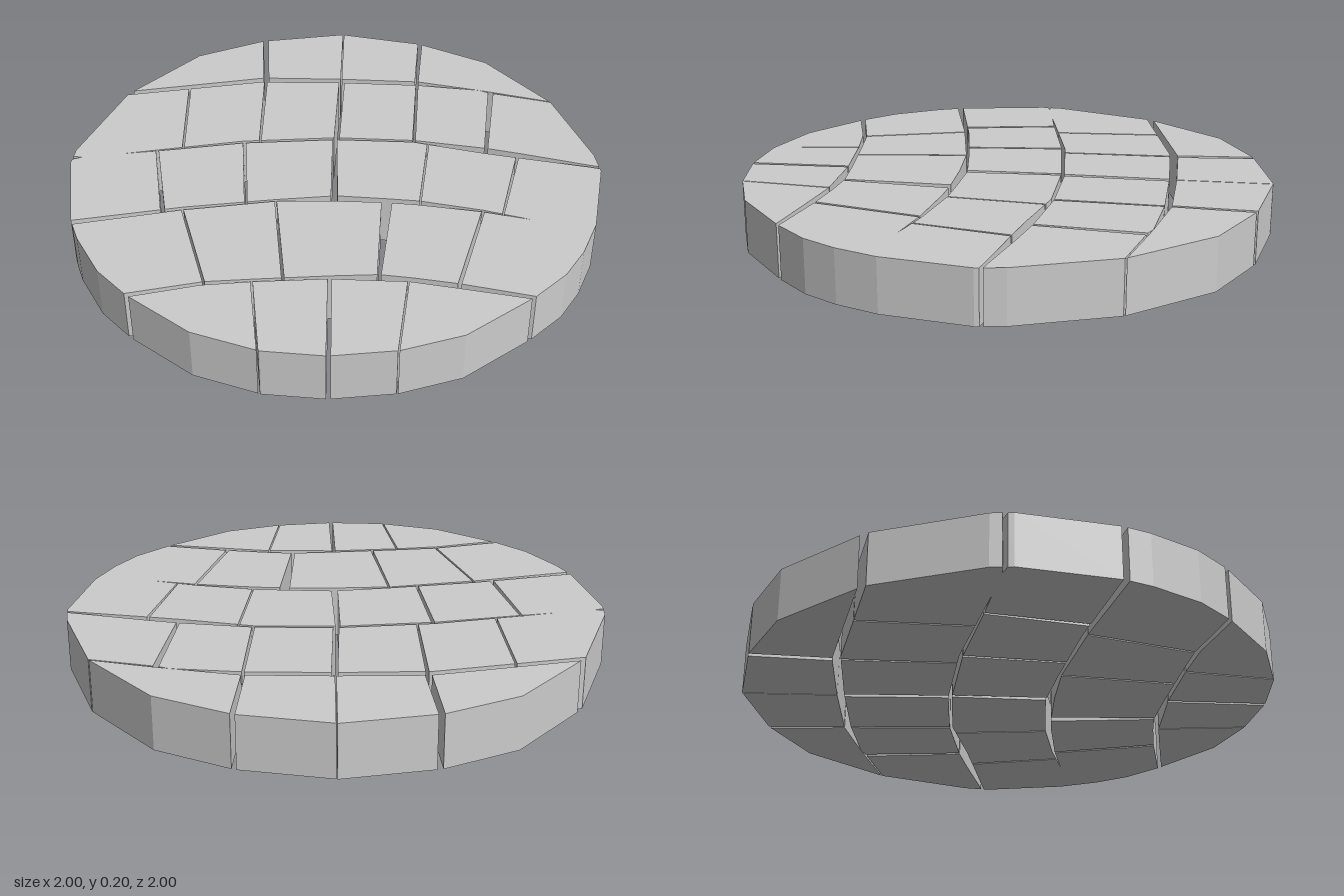
import * as THREE from 'three';

const HEIGHT = 0.2;

// Outer rim of the paved disc, [x, z], clockwise seen from above
const RIM = [
  [-1, -0.08], [-0.905, -0.465], [-0.725, -0.7], [-0.45, -0.91], [-0.12, -1],
  [0.19, -1], [0.545, -0.85], [0.83, -0.585], [0.89, -0.5], [0.985, -0.185],
  [1, -0.02], [0.99, 0.125], [0.94, 0.285], [0.81, 0.57], [0.65, 0.74],
  [0.455, 0.875], [0.25, 0.96], [0, 0.995], [-0.29, 0.945], [-0.45, 0.89],
  [-0.62, 0.78], [-0.7, 0.71], [-0.92, 0.42], [-0.95, 0.345], [-1, -0.07],
];

// Long joints between the rows, back to front: [x, z, gap], running past the rim
const BED_BACK = [[-1.2, -1, 0], [1.2, -1, 0]];
const BED_A = [
  [-1.2, 0.075, 0.03], [-1, -0.085, 0.03], [-0.57, -0.43, 0.035], [-0.28, -0.58, 0.03],
  [0.01, -0.715, 0.028], [0.255, -0.79, 0], [0.295, -0.795, 0.008], [0.545, -0.85, 0.005], [1.2, -0.99, 0.005],
];
const BED_B = [
  [-1.2, 0.6, 0.2], [-0.9, 0.37, 0], [-0.78, 0.28, 0], [-0.67, 0.195, 0.008],
  [-0.41, -0.01, 0.015], [-0.1, -0.205, 0.015], [0.175, -0.335, 0.012],
  [0.445, -0.41, 0.035], [0.58, -0.445, 0.03], [0.84, -0.51, 0.012], [1.2, -0.6, 0.015],
];
const BED_C = [
  [-1.2, 1.15, 0.03], [-0.7, 0.72, 0.03], [-0.385, 0.455, 0.02], [-0.11, 0.25, 0.012],
  [0.075, 0.135, 0.035], [0.25, 0.055, 0.025], [0.36, 0.01, 0.025],
  [0.59, -0.06, 0.01], [0.775, -0.1, 0], [1.2, -0.2, 0],
];
const BED_D = [
  [-1.2, 1.75, 0.025], [-0.29, 0.945, 0.025], [-0.095, 0.77, 0.02], [0.055, 0.67, 0.015],
  [0.28, 0.53, 0.018], [0.42, 0.455, 0.035], [0.525, 0.41, 0.022],
  [0.685, 0.36, 0.025], [0.94, 0.29, 0.015], [1.2, 0.21, 0.01],
];
const BED_FRONT = [[-1.2, 1.8, 0], [-0.35, 1.01, 0], [1.2, 1.01, 0]];

// Rows with their cross joints: [x at back, x at front, gap at back, gap at front]
const ROWS = [
  { name: 'backRow', back: BED_BACK, front: BED_A, joints: [
    [-0.895, -0.565, 0.02, 0.02], [-0.49, -0.285, 0.004, 0.004], [-0.117, 0, 0.018, 0.012]] },
  { name: 'backMiddleRow', back: BED_A, front: BED_B, joints: [
    [-0.8, -0.595, 0.006, 0.006], [-0.55, -0.355, 0.01, 0.006], [-0.27, -0.1, 0.02, 0.018],
    [0.013, 0.175, 0.008, 0.01], [0.305, 0.445, 0.02, 0.012]] },
  { name: 'middleRow', back: BED_B, front: BED_C, joints: [
    [-0.67, -0.445, 0.008, 0.012], [-0.4, -0.2, 0.01, 0.008], [-0.1, 0.07, 0.015, 0.02],
    [0.235, 0.365, 0.006, 0.006], [0.575, 0.665, 0.01, 0.006]] },
  { name: 'frontMiddleRow', back: BED_C, front: BED_D, joints: [
    [-0.38, -0.095, 0.006, 0.006], [-0.105, 0.135, 0.006, 0.008],
    [0.26, 0.42, 0.035, 0.012], [0.595, 0.685, 0.01, 0.012]] },
  { name: 'frontRow', back: BED_D, front: BED_FRONT, joints: [
    [0.05, 0.275, 0.006, 0.006], [0.28, 0.53, 0.012, 0.018], [0.525, 0.75, 0.005, 0.005]] },
];

// Edge of a bed joint from x0 to x1; side +1 is its front edge, -1 its back edge
function bedEdge(bed, x0, x1, side) {
  const pointAt = (x) => {
    let i = 0;
    while (i < bed.length - 2 && x > bed[i + 1][0]) i++;
    const [a, b] = [bed[i], bed[i + 1]];
    const t = (x - a[0]) / (b[0] - a[0]);
    const z = THREE.MathUtils.lerp(a[1], b[1], t);
    return [x, z + side * THREE.MathUtils.lerp(a[2], b[2], t) / 2];
  };
  const inner = bed.map((p) => p[0]).filter((x) => x > x0 + 0.01 && x < x1 - 0.01);
  return [x0, ...inner, x1].map(pointAt);
}

// Trim a polygon to the convex rim, one rim edge at a time
function clipToRim(polygon) {
  let points = polygon;
  RIM.forEach((a, i) => {
    const b = RIM[(i + 1) % RIM.length];
    const inside = (p) => (b[0] - a[0]) * (p[1] - a[1]) - (b[1] - a[1]) * (p[0] - a[0]);
    const kept = [];
    points.forEach((p, k) => {
      const q = points[(k + 1) % points.length];
      const dp = inside(p);
      const dq = inside(q);
      if (dp >= 0) kept.push(p);
      if (dp * dq < 0) {
        const t = dp / (dp - dq);
        kept.push([p[0] + (q[0] - p[0]) * t, p[1] + (q[1] - p[1]) * t]);
      }
    });
    points = kept;
  });
  return points.filter((p, i) => {
    const q = points[(i + 1) % points.length];
    return Math.hypot(p[0] - q[0], p[1] - q[1]) > 1e-4;
  });
}

export function createModel() {
  const model = new THREE.Group();
  model.name = 'roundStonePaving';
  const material = new THREE.MeshStandardMaterial({ color: 0xcccccc, flatShading: true });

  for (const { name, back, front, joints } of ROWS) {
    const row = new THREE.Group();
    row.name = name;
    const ends = [[-1.2, -1.2, 0, 0], ...joints, [1.2, 1.2, 0, 0]];

    // One flat slab between each pair of neighbouring cross joints
    for (let i = 0; i < ends.length - 1; i++) {
      const [l, r] = [ends[i], ends[i + 1]];
      const backEdge = bedEdge(back, l[0] + l[2] / 2, r[0] - r[2] / 2, 1);
      const frontEdge = bedEdge(front, l[1] + l[3] / 2, r[1] - r[3] / 2, -1);
      const outline = clipToRim([...backEdge, ...frontEdge.reverse()]);
      if (outline.length < 3) continue;

      const shape = new THREE.Shape(outline.map(([x, z]) => new THREE.Vector2(x, -z)));
      const geometry = new THREE.ExtrudeGeometry(shape, { depth: HEIGHT, bevelEnabled: false });
      geometry.rotateX(-Math.PI / 2);
      const stone = new THREE.Mesh(geometry, material);
      stone.name = `pavingStone${i + 1}`;
      row.add(stone);
    }
    model.add(row);
  }
  return model;
}
